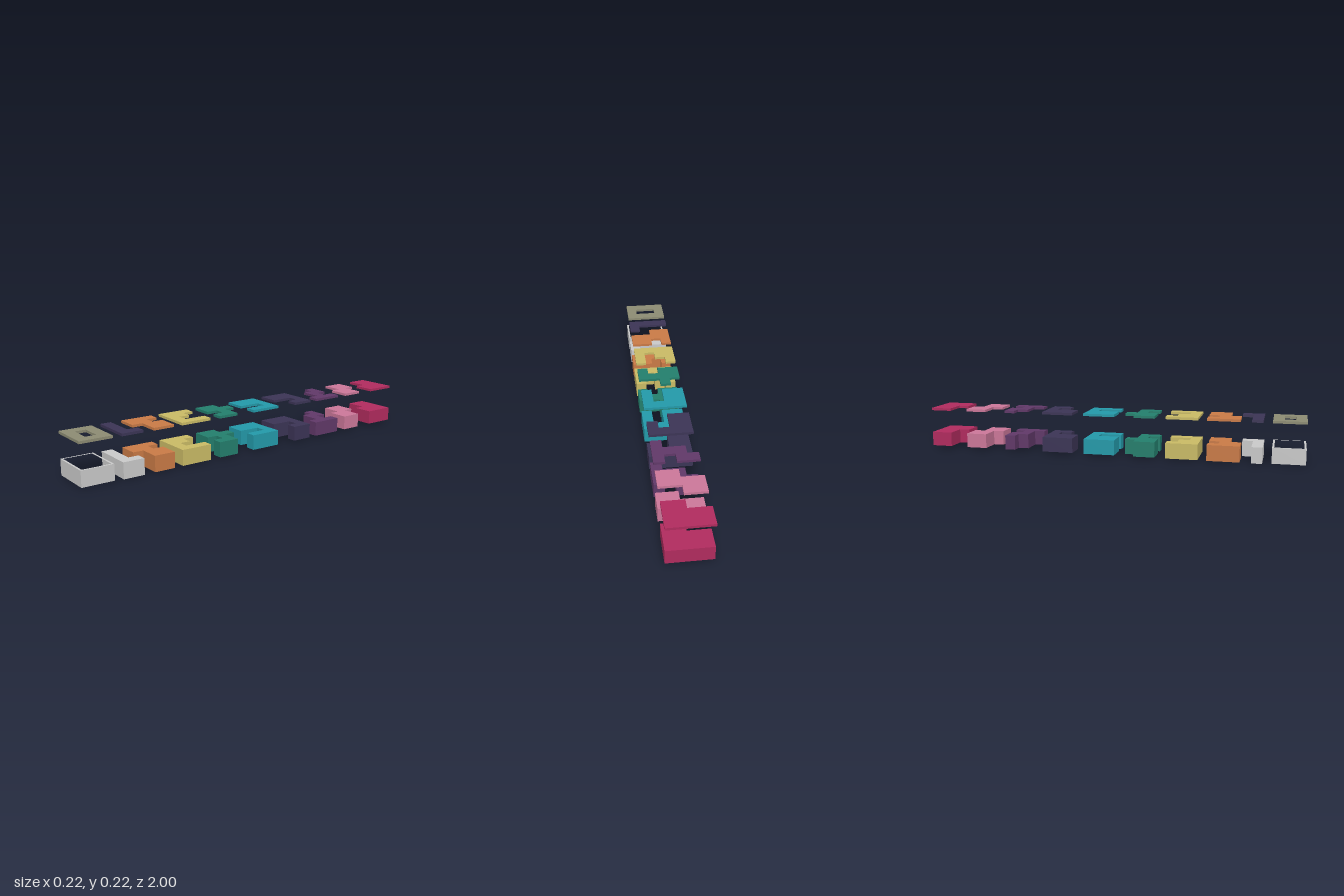
import * as THREE from 'three';

const CELL = 0.0553; // tiles lie on a grid of 4 x 3 cells
const WALL = 0.01;
const LID_BOTTOM = 0.207, LID_TOP = 0.22;

const mat = (name, color) => Object.assign(new THREE.MeshStandardMaterial({ color }), { name });

// Boundary loops of the filled cells in a mask; the outer loop comes first
function traceMask(mask, z0) {
  const rows = mask.split('/');
  const filled = (c, r) => rows[r]?.[c] === 'X';
  const next = new Map();
  const edge = (c, r, dc, dr) => next.set(c + ',' + r, { c, r, dc, dr });
  rows.forEach((row, r) => [...row].forEach((cell, c) => {
    if (cell !== 'X') return;
    if (!filled(c, r - 1)) edge(c, r, 1, 0);
    if (!filled(c + 1, r)) edge(c + 1, r, 0, 1);
    if (!filled(c, r + 1)) edge(c + 1, r + 1, -1, 0);
    if (!filled(c - 1, r)) edge(c, r + 1, 0, -1);
  }));
  const loops = [];
  while (next.size) {
    const points = [];
    let key = next.keys().next().value, last = null;
    while (next.has(key)) {
      const e = next.get(key);
      next.delete(key);
      // Keep only the corners of the outline
      if (!last || last.dc !== e.dc) {
        points.push(new THREE.Vector2((e.c - 2) * CELL, -(z0 + e.r * CELL)));
      }
      last = e;
      key = (e.c + e.dc) + ',' + (e.r + e.dr);
    }
    loops.push(points);
  }
  return loops;
}

// Upright prism between two heights; loops after the first are holes
function prism(name, material, [outer, ...holes], bottom, top) {
  const shape = new THREE.Shape(outer);
  shape.holes = holes.map((points) => new THREE.Path(points));
  const geo = new THREE.ExtrudeGeometry(shape, { depth: top - bottom, bevelEnabled: false });
  geo.rotateX(-Math.PI / 2).translate(0, bottom, 0);
  const mesh = new THREE.Mesh(geo, material);
  mesh.name = name;
  return mesh;
}

export function createModel() {
  const crimson = mat('crimson', 0xb02b5e), pink = mat('pink', 0xcb7799);
  const purple = mat('purple', 0x603868), navy = mat('navy', 0x3b3455);
  const teal = mat('teal', 0x2399a9), green = mat('green', 0x237e6c);
  const yellow = mat('yellow', 0xc9ba65), orange = mat('orange', 0xc97a46);
  const olive = mat('olive', 0x8c8b73), grey = mat('light grey', 0xc9c9c9);

  // Tiles from back to front: name, back edge, block colour, lid colour, cells
  const tiles = [
    ['crimson', -1, crimson, crimson, 'XXXX/XXXX/..XX'],
    ['pink', -0.795, pink, pink, 'XX../XXXX/..XX'],
    ['purple', -0.573, purple, purple, 'XX.X/.XXX/...X'],
    ['navy', -0.362, navy, navy, 'XXXX/XX.X/XX..'],
    ['teal', -0.135, teal, teal, 'XXXX/XX.X/XX.X'],
    ['green', 0.078, green, green, '.X../XXXX/XX.X'],
    ['yellow', 0.3, yellow, yellow, 'X..X/XX.X/XXXX'],
    ['orange', 0.511, orange, orange, 'X.XX/XXXX/XX..'],
    ['corner', 0.678, grey, navy, '...X/XXXX'],
  ];

  const model = new THREE.Group();
  model.name = 'tileSet';
  tiles.forEach(([name, z0, blockMat, lidMat, mask], i) => {
    // Blocks sit slightly lower towards the front
    const back = 1 - i / (tiles.length - 1);
    const loops = traceMask(mask, z0);
    model.add(prism(name + 'Block', blockMat, loops, 0.011 * back, 0.083 + 0.003 * back));
    model.add(prism(name + 'Lid', lidMat, loops, LID_BOTTOM, LID_TOP));
  });

  // Open frame at the front: thin walls below, a lid with a slot above
  const z0 = 1 - 3 * CELL;
  const [outer, slot] = traceMask('XXXX/X..X/XXXX', z0);
  const centre = new THREE.Vector2(0, -(z0 + 1.5 * CELL));
  const inner = outer.map((p) => new THREE.Vector2(
    p.x - WALL * Math.sign(p.x - centre.x), p.y - WALL * Math.sign(p.y - centre.y)));
  model.add(prism('openFrame', grey, [outer, inner], 0.004, 0.085));
  model.add(prism('frameLid', olive, [outer, slot], LID_BOTTOM, LID_TOP));
  return model;
}
